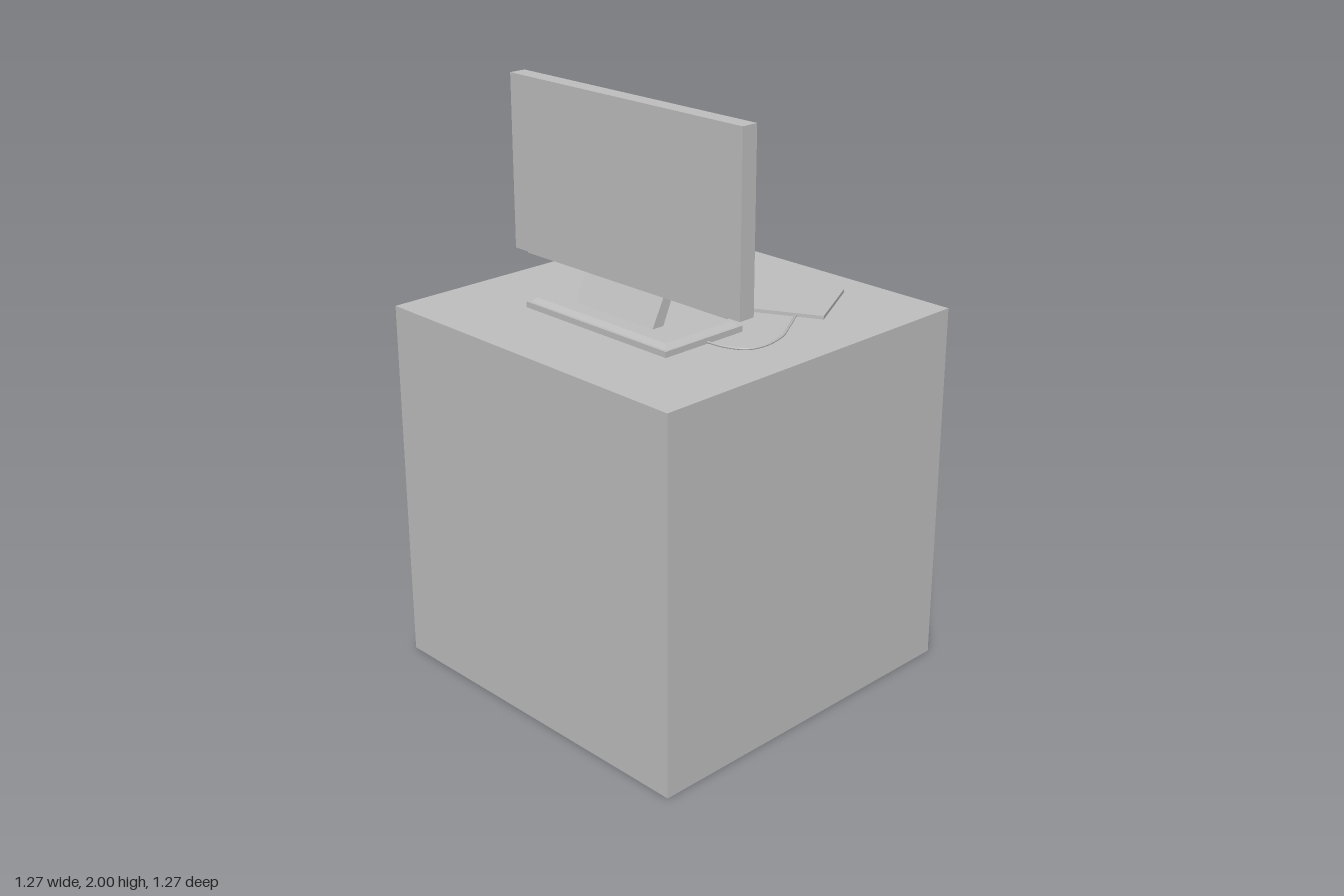
import * as THREE from 'three';

const DESK = 1.275; // height of the block's top face

// Closed solid through rectangular rings [width, depth, height], stacked along y.
function rectLoft(rings) {
  const pos = [];
  const corners = rings.map(([w, d, h]) =>
    [[-1, 1], [1, 1], [1, -1], [-1, -1]].map(([a, b]) => [a * w / 2, h, b * d / 2]));
  const quad = (a, b, c, d) => pos.push(...a, ...b, ...c, ...a, ...c, ...d);
  for (let i = 0; i < corners.length - 1; i++) {
    const lo = corners[i], hi = corners[i + 1];
    for (let k = 0; k < 4; k++) {
      const n = (k + 1) % 4;
      quad(lo[k], lo[n], hi[n], hi[k]);
    }
  }
  const first = corners[0], last = corners[corners.length - 1];
  quad(first[3], first[2], first[1], first[0]);
  quad(...last);
  const geo = new THREE.BufferGeometry();
  geo.setAttribute('position', new THREE.Float32BufferAttribute(pos, 3));
  geo.computeVertexNormals();
  return geo;
}

export function createModel() {
  const group = new THREE.Group();
  const grey = new THREE.MeshStandardMaterial({ color: 0xbfbfbf });
  grey.name = 'plain grey';

  const add = (name, geo, x = 0, y = 0, z = 0) => {
    const mesh = new THREE.Mesh(geo, grey);
    mesh.name = name;
    mesh.position.set(x, y, z);
    group.add(mesh);
    return mesh;
  };

  // Block that everything stands on
  add('deskBlock', new THREE.BoxGeometry(1.275, DESK, 1.275), 0, DESK / 2, 0);

  // Monitor with a rim and a sloped recess, facing +x
  const W = 0.59, D = 1.035;
  const monitor = add('monitor', rectLoft([
    [W, D, -0.03], [W, D, 0.03],
    [W - 0.02, D - 0.02, 0.03],
    [W - 0.05, D - 0.05, 0.005],
  ]), -0.19, 1.705, -0.002);
  monitor.rotation.z = -Math.PI / 2;
  add('monitorLowerStrip', new THREE.BoxGeometry(0.045, 0.007, 0.92), -0.195, 1.408, 0);

  // Slanted neck
  const neck = new THREE.Shape([
    [-0.262, 1.3], [-0.215, 1.3], [-0.165, 1.412], [-0.205, 1.412],
  ].map(([x, y]) => new THREE.Vector2(x, y)));
  add('neck', new THREE.ExtrudeGeometry(neck, { depth: 0.36, bevelEnabled: false }), 0, 0, -0.18);

  // Stepped foot with a bevelled top
  add('monitorFoot', rectLoft([
    [0.336, 0.652, 0], [0.336, 0.652, 0.02],
    [0.314, 0.63, 0.02], [0.286, 0.598, 0.034],
  ]), -0.171, DESK, -0.003);

  // Tablet and small flat pad
  const tablet = add('tablet', new THREE.BoxGeometry(0.285, 0.012, 0.332), 0.313, DESK + 0.006, 0.214);
  tablet.rotation.y = 0.48;
  const pad = add('smallPad', new THREE.BoxGeometry(0.284, 0.012, 0.121), 0.27, DESK + 0.006, -0.343);
  pad.rotation.y = -0.218;

  // Pen leaning on the tablet's edge, pointed at the tablet end
  const pen = add('pen', new THREE.LatheGeometry([
    [0, -0.086], [0.0065, -0.064], [0.0065, 0.086], [0, 0.086],
  ].map(([r, y]) => new THREE.Vector2(r, y)), 8), 0.249, 1.288, -0.015);
  const penDir = new THREE.Vector3(-0.01, -0.008, -0.17).normalize();
  pen.quaternion.setFromUnitVectors(new THREE.Vector3(0, 1, 0), penDir);

  // Cable from the foot round to the tablet
  const path = new THREE.CatmullRomCurve3([
    [-0.16, 0.31], [-0.15, 0.39], [-0.115, 0.45], [-0.06, 0.467],
    [0.04, 0.449], [0.13, 0.4], [0.225, 0.343],
  ].map(([x, z]) => new THREE.Vector3(x, DESK + 0.005, z)));
  add('cable', new THREE.TubeGeometry(path, 40, 0.004, 6));

  return group;
}
